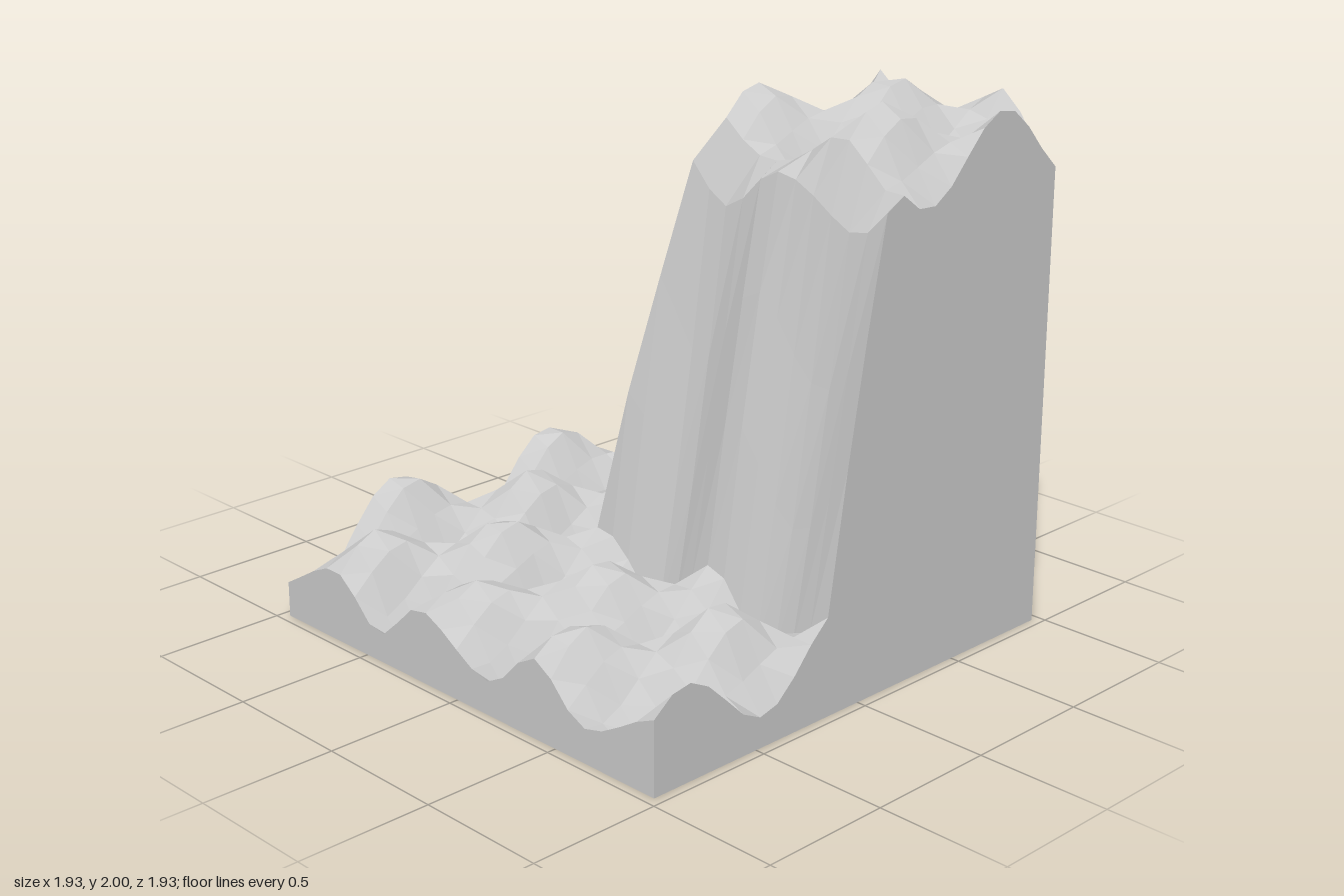
import * as THREE from 'three';

const SIZE = 1.93;
const CELLS = 24;
const HALF = SIZE / 2;

// Ground height: diagonal rolling ridges, plus a raised quadrant with steep cliffs
function heightAt(x, z) {
  const a = 11.3 * x, b = 8.3 * z;
  const hills = 0.254 + 0.095 * Math.cos(a + b) - 0.11 * Math.sin(a) * Math.cos(b)
    + 0.015 * Math.cos(19 * x - 1.3);
  const frontDip = 0.055 * THREE.MathUtils.smoothstep(z, 0.6, 0.96);
  const ramp = (d) => THREE.MathUtils.clamp((d + 0.161) / 0.264, 0, 1);
  return hills - frontDip + 1.57 * Math.min(ramp(x), ramp(-z));
}

export function createModel() {
  const group = new THREE.Group();
  group.name = 'terrainBlock';
  const stone = new THREE.MeshStandardMaterial({ color: 0xcbcbcb, flatShading: true });
  stone.name = 'stoneGrey';

  const add = (name, geometry) => {
    geometry.computeVertexNormals();
    const mesh = new THREE.Mesh(geometry, stone);
    mesh.name = name;
    group.add(mesh);
  };

  // Hilly surface with the plateau
  const top = new THREE.PlaneGeometry(SIZE, SIZE, CELLS, CELLS).rotateX(-Math.PI / 2);
  const p = top.attributes.position;
  for (let i = 0; i < p.count; i++) p.setY(i, heightAt(p.getX(i), p.getZ(i)));
  add('terrainSurface', top);

  // Four vertical cut sides whose upper edge follows the terrain
  ['frontWall', 'leftWall', 'backWall', 'rightWall'].forEach((name, k) => {
    const wall = new THREE.PlaneGeometry(SIZE, 1, CELLS, 1);
    wall.translate(0, 0.5, HALF).rotateY(k * Math.PI / 2);
    const w = wall.attributes.position;
    for (let i = 0; i < w.count; i++) {
      w.setY(i, w.getY(i) > 0.5 ? heightAt(w.getX(i), w.getZ(i)) : 0);
    }
    add(name, wall);
  });

  // Flat underside
  add('underside', new THREE.PlaneGeometry(SIZE, SIZE).rotateX(Math.PI / 2));

  return group;
}
